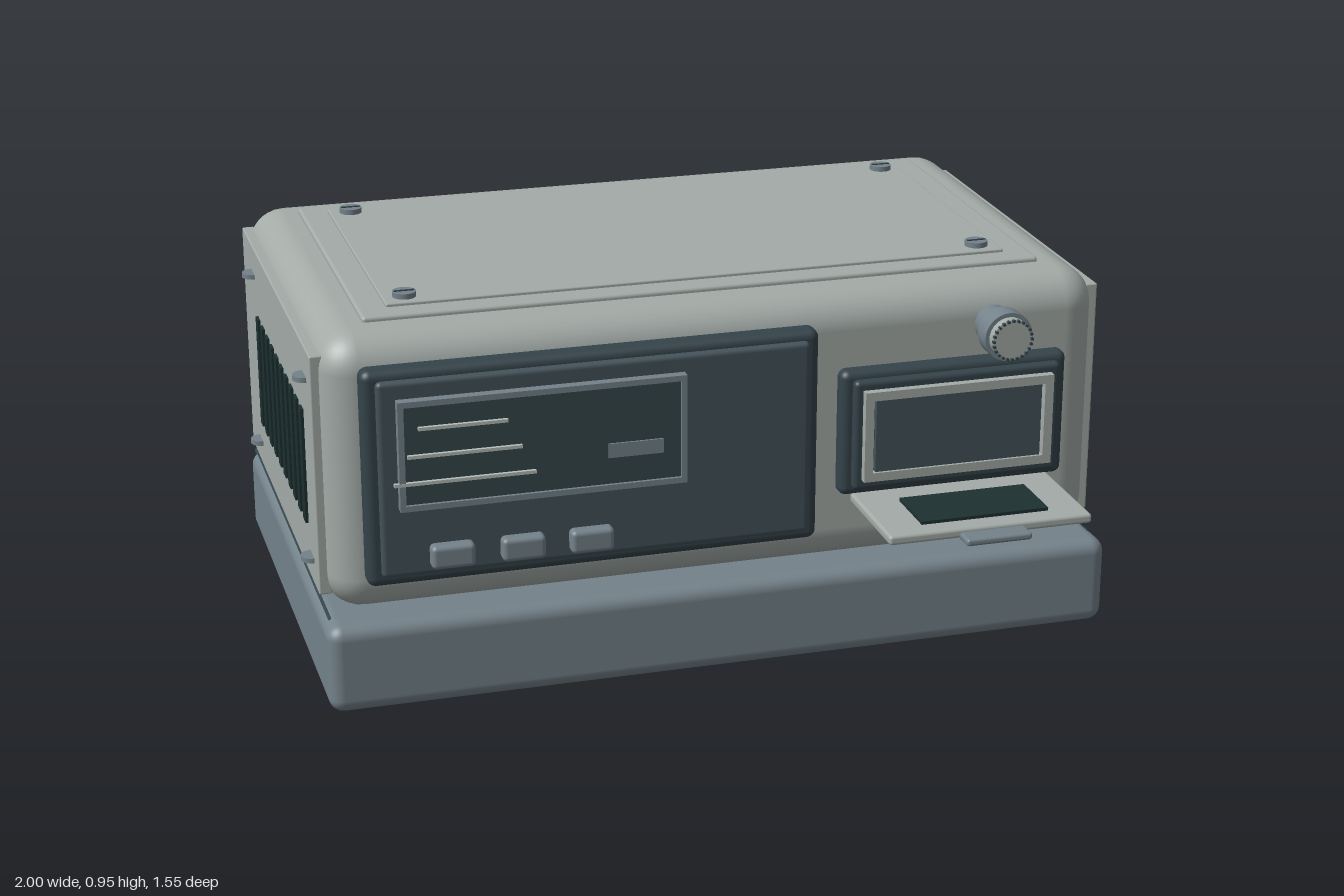
import * as THREE from 'three';
import { RoundedBoxGeometry } from 'three/addons/geometries/RoundedBoxGeometry.js';

const mat = (name, color) => {
  const m = new THREE.MeshStandardMaterial({ color });
  m.name = name;
  return m;
};

export function createModel() {
  const root = new THREE.Group();
  root.name = 'tabletopDevice';
  const shell = mat('shellGrey', 0xa3aba7);
  const slate = mat('slateGrey', 0x74828a);
  const panel = mat('panelSlate', 0x43525a);
  const trim = mat('darkTrim', 0x34434a);
  const black = mat('ventBlack', 0x1d3031);
  const screen = mat('screenGreen', 0x34464a);
  const pale = mat('paleLine', 0xb4bcb8);

  const add = (name, geo, m, x = 0, y = 0, z = 0) => {
    const mesh = new THREE.Mesh(geo, m);
    mesh.name = name;
    mesh.position.set(x, y, z);
    root.add(mesh);
    return mesh;
  };
  // Box given by its limits; r > 0 rounds the edges
  const box = (name, m, x0, x1, y0, y1, z0, z1, r = 0) => {
    const s = [x1 - x0, y1 - y0, z1 - z0];
    const geo = r ? new RoundedBoxGeometry(...s, 4, r) : new THREE.BoxGeometry(...s);
    return add(name, geo, m, (x0 + x1) / 2, (y0 + y1) / 2, (z0 + z1) / 2);
  };
  // Rectangular ring of border b facing +z
  const frame = (name, m, x0, x1, y0, y1, z0, z1, b) => {
    const rect = (T, a, c, d, e) => new T([[a, d], [c, d], [c, e], [a, e]].map(p => new THREE.Vector2(...p)));
    const s = rect(THREE.Shape, x0, x1, y0, y1);
    s.holes.push(rect(THREE.Path, x0 + b, x1 - b, y0 + b, y1 - b));
    return add(name, new THREE.ExtrudeGeometry(s, { depth: z1 - z0, bevelEnabled: false }), m, 0, 0, z0);
  };
  // Upright disc, and a disc facing forward
  const disc = (name, m, r, h, x, y, z) => add(name, new THREE.CylinderGeometry(r, r, h, 28), m, x, y, z);
  const dial = (name, m, r, z0, z1, x, y) => {
    const d = disc(name, m, r, z1 - z0, x, y, (z0 + z1) / 2);
    d.rotation.x = Math.PI / 2;
    return d;
  };

  // Plinth, gasket and main shell
  box('plinth', slate, -0.975, 0.975, 0.02, 0.24, -0.72, 0.49, 0.035);
  box('gasket', trim, -0.962, 0.962, 0.218, 0.237, -0.735, 0.42, 0.008);
  box('shell', shell, -0.956, 0.956, 0.235, 0.92, -0.73, 0.42, 0.09);
  for (const x of [-0.76, 0.76]) for (const z of [-0.56, 0.325])
    disc('foot', black, 0.1, 0.03, x, 0.015, z);

  // Lid plates with slotted screws
  box('lidPlate', shell, -0.835, 0.835, 0.91, 0.932, -0.605, 0.302, 0.008);
  box('lidInset', shell, -0.768, 0.768, 0.92, 0.94, -0.548, 0.242, 0.004);
  for (const x of [-0.715, 0.715]) for (const z of [-0.505, 0.195]) {
    disc('lidScrew', slate, 0.028, 0.016, x, 0.945, z);
    box('screwSlot', trim, x - 0.024, x + 0.024, 0.95, 0.955, z - 0.003, z + 0.003);
  }

  // Side plates with vents and tabs
  for (const s of [-1, 1]) {
    const side = (name, m, xa, xb, ...rest) =>
      box(name, m, Math.min(s * xa, s * xb), Math.max(s * xa, s * xb), ...rest);
    side('sidePlate', shell, 0.94, 0.971, 0.276, 0.87, -0.677, 0.36, 0.004);
    for (let i = 0; i < 10; i++) {
      const z = 0.225 - i * 0.0736;
      side('sideVent', black, 0.968, 0.978, 0.413, 0.7, z - 0.018, z + 0.018);
    }
    for (const y of [0.342, 0.795]) for (const z of [-0.51, 0.28])
      disc('sideScrew', slate, 0.028, 0.012, s * 0.971, y, z);
  }

  // Rear grille
  box('rearPanel', slate, -0.835, 0.835, 0.258, 0.803, -0.768, -0.71, 0.022);
  for (let i = 0; i < 19; i++) {
    const x = (i - 9) * 0.0822;
    box('rearVent', trim, x - 0.016, x + 0.016, 0.36, 0.76, -0.777, -0.765);
  }

  // Control panel with display
  box('controlBezel', trim, -0.872, 0.224, 0.322, 0.855, 0.4, 0.463, 0.022);
  box('controlPanel', panel, -0.84, 0.196, 0.35, 0.832, 0.44, 0.478, 0.012);
  box('display', screen, -0.785, -0.125, 0.533, 0.78, 0.47, 0.494);
  frame('displayFrame', slate, -0.797, -0.113, 0.522, 0.79, 0.47, 0.502, 0.014);
  [[-0.75, -0.54, 0.722], [-0.777, -0.508, 0.655], [-0.81, -0.476, 0.589]].forEach(([a, b, y]) =>
    box('displayLine', pale, a, b, y - 0.004, y + 0.004, 0.494, 0.503));
  box('displayBlock', slate, -0.302, -0.17, 0.602, 0.637, 0.492, 0.499);
  for (const x of [-0.676, -0.508, -0.343])
    box('button', slate, x - 0.052, x + 0.052, 0.37, 0.428, 0.465, 0.508, 0.012);

  // Loading bay
  box('bayBezel', trim, 0.283, 0.858, 0.42, 0.738, 0.4, 0.455, 0.02);
  box('bayPanel', trim, 0.31, 0.835, 0.44, 0.718, 0.44, 0.475, 0.012);
  frame('bayFrame', shell, 0.33, 0.81, 0.468, 0.696, 0.465, 0.495, 0.022);
  box('bayWindow', panel, 0.36, 0.782, 0.488, 0.675, 0.46, 0.488);

  // Open hatch with pad and pull tab
  box('hatch', shell, 0.313, 0.823, 0.4, 0.424, 0.44, 0.727, 0.008);
  box('hatchPad', black, 0.41, 0.73, 0.424, 0.432, 0.524, 0.678);
  box('hatchTab', slate, 0.488, 0.652, 0.397, 0.415, 0.7, 0.775, 0.007);

  // Knob with a ring of ticks
  const kx = 0.675, ky = 0.815;
  dial('knobShaft', slate, 0.046, 0.4, 0.475, kx, ky);
  dial('knobCollar', slate, 0.06, 0.475, 0.525, kx, ky);
  dial('knobCap', shell, 0.05, 0.525, 0.548, kx, ky);
  for (let i = 0; i < 24; i++) {
    const a = i / 24 * Math.PI * 2;
    const t = add('knobTick', new THREE.BoxGeometry(0.006, 0.006, 0.01), trim,
      kx + 0.048 * Math.cos(a), ky + 0.048 * Math.sin(a), 0.55);
    t.rotation.z = a;
  }
  return root;
}
